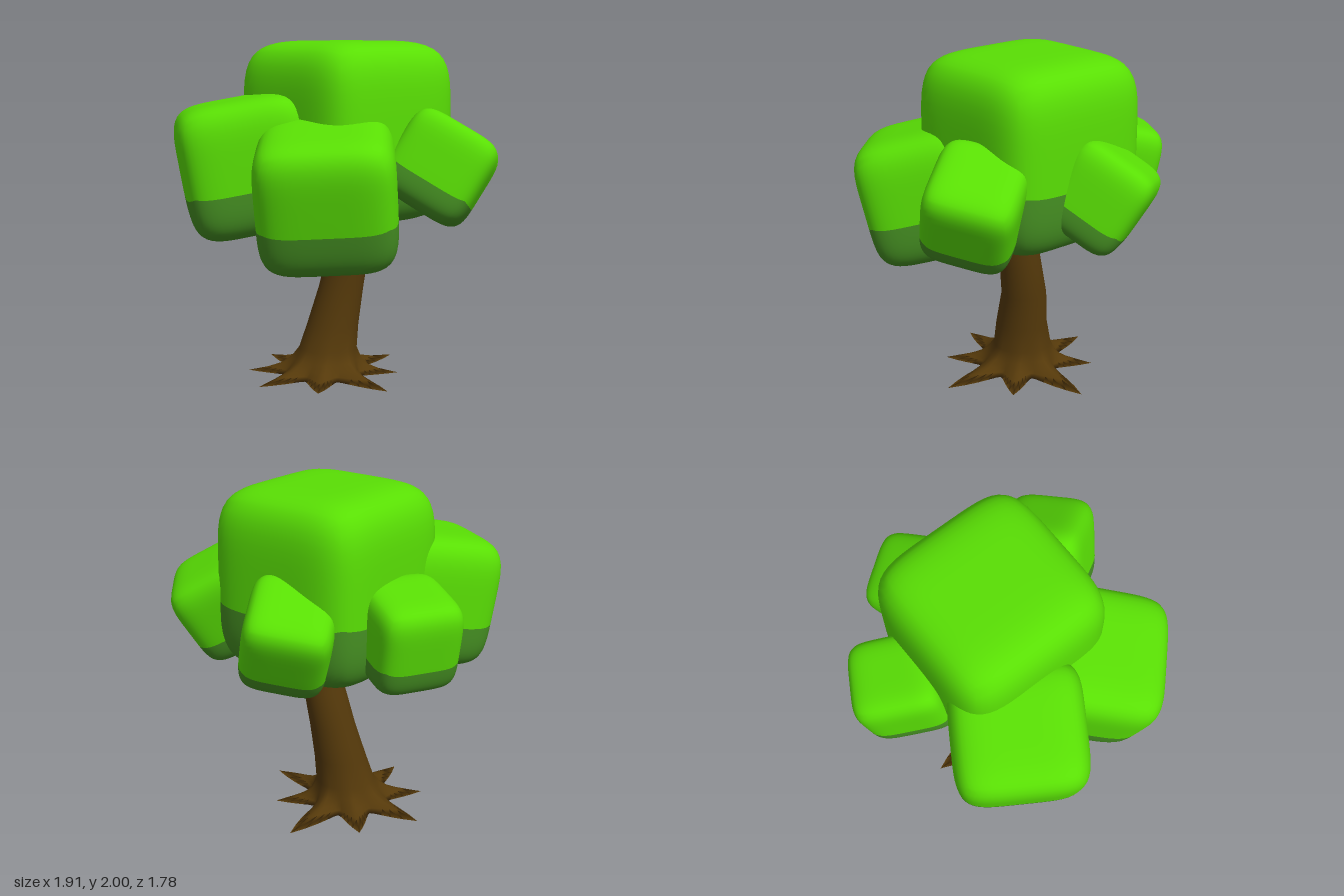
import * as THREE from 'three';
import { mergeVertices } from 'three/addons/utils/BufferGeometryUtils.js';

const mat = (name, color) => {
  const m = new THREE.MeshStandardMaterial({ color });
  m.name = name;
  return m;
};

// Soft swollen cube; faces below the cut use the second material
function leafGeometry(size, cut) {
  const n = 20, k = 5;
  const geo = new THREE.BoxGeometry(2, 2, 2, n, n, n);
  geo.deleteAttribute('uv');
  geo.deleteAttribute('normal');
  const pos = geo.attributes.position;
  // sort the triangles by colour, above and below the middle row
  const light = [], dark = [], idx = geo.index.array;
  for (let t = 0; t < idx.length; t += 3) {
    const tri = [idx[t], idx[t + 1], idx[t + 2]];
    const sumY = tri.reduce((s, v) => s + pos.getY(v), 0);
    (sumY < 0 ? dark : light).push(...tri);
  }
  geo.setIndex([...light, ...dark]);
  geo.clearGroups();
  geo.addGroup(0, light.length, 0);
  geo.addGroup(light.length, dark.length, 1);
  // move the middle row to the cut, then round the cube
  const p = new THREE.Vector3();
  for (let i = 0; i < pos.count; i++) {
    p.fromBufferAttribute(pos, i);
    p.y = cut + p.y * (p.y < 0 ? 1 + cut : 1 - cut);
    const norm = (Math.abs(p.x) ** k + Math.abs(p.y) ** k + Math.abs(p.z) ** k) ** (1 / k);
    p.divideScalar(norm);
    pos.setXYZ(i, p.x * size[0], p.y * size[1], p.z * size[2]);
  }
  const merged = mergeVertices(geo, 1e-5);
  merged.computeVertexNormals();
  return merged;
}

// Root spikes: 0 in the valleys, up to 1 at the tips
const SPIKES = [0.62, 0.97, 0.66, 0.78, 0.65, 0.82, 0.63, 1];
const SEG = 80;
function spike(j) {
  const u = (j / SEG) * SPIKES.length;
  const near = Math.round(u);
  return SPIKES[near % SPIKES.length] * (1 - 2 * Math.abs(u - near)) ** 1.6;
}

// Trunk sections: y, centre x, centre z, radius, spike reach
const SECTIONS = [
  [0, -0.075, -0.05, 0.25, 0.32],
  [0.025, -0.075, -0.05, 0.235, 0.16],
  [0.05, -0.07, -0.055, 0.22, 0.07],
  [0.09, -0.06, -0.06, 0.2, 0.02],
  [0.15, -0.05, -0.07, 0.175, 0],
  [0.3, -0.02, -0.068, 0.155, 0],
  [0.52, 0.028, -0.085, 0.135, 0],
  [0.75, 0.075, -0.065, 0.123, 0],
  [0.93, 0.095, -0.05, 0.112, 0],
  [1.15, 0.11, -0.04, 0.105, 0],
];

function trunkGeometry() {
  const points = [], index = [];
  const centre = SECTIONS.length * SEG;
  SECTIONS.forEach(([y, cx, cz, r, reach], i) => {
    for (let j = 0; j < SEG; j++) {
      const angle = (j / SEG) * Math.PI * 2;
      const rad = r + reach * spike(j);
      points.push(cx + rad * Math.cos(angle), y, cz + rad * Math.sin(angle));
      const a = i * SEG + j, b = i * SEG + ((j + 1) % SEG);
      if (i < SECTIONS.length - 1) index.push(a, a + SEG, b, b, a + SEG, b + SEG);
      // underside of the roots
      if (i === 0) index.push(centre, a, b);
    }
  });
  points.push(SECTIONS[0][1], 0.01, SECTIONS[0][2]);
  const geo = new THREE.BufferGeometry();
  geo.setAttribute('position', new THREE.Float32BufferAttribute(points, 3));
  geo.setIndex(index);
  geo.computeVertexNormals();
  return geo;
}

// Leaf clumps: centre, half size, rotation in degrees, colour boundary
const CLUMPS = [
  { name: 'crownTop', at: [0.06, 1.467, -0.11], size: [0.5, 0.533, 0.5], rot: [0, 45, 0], cut: -0.26 },
  { name: 'frontClump', at: [-0.02, 1.155, 0.475], size: [0.39, 0.38, 0.375], rot: [14, 2, 3], cut: -0.26 },
  { name: 'rightClump', at: [-0.525, 1.28, 0.105], size: [0.375, 0.39, 0.375], rot: [0, 13, 10], cut: -0.3 },
  { name: 'leftClump', at: [0.61, 1.27, 0.135], size: [0.275, 0.275, 0.26], rot: [-12, -6, -30], cut: -0.4 },
  { name: 'backLeftClump', at: [0.325, 1.26, -0.535], size: [0.245, 0.27, 0.25], rot: [-30, -17, 12], cut: -0.42 },
  { name: 'backRightClump', at: [-0.31, 1.262, -0.575], size: [0.245, 0.265, 0.26], rot: [-12, 15, 0], cut: -0.35 },
];

export function createModel() {
  const bark = mat('bark brown', 0x55390a);
  const leaf = mat('leaf green', 0x59df04);
  const shade = mat('dark leaf green', 0x458f22);

  const model = new THREE.Group();
  model.name = 'tree';
  const add = (name, geo, material) => {
    const mesh = new THREE.Mesh(geo, material);
    mesh.name = name;
    model.add(mesh);
    return mesh;
  };

  add('trunk', trunkGeometry(), bark);

  for (const c of CLUMPS) {
    const mesh = add(c.name, leafGeometry(c.size, c.cut), [leaf, shade]);
    mesh.position.set(...c.at);
    mesh.rotation.set(...c.rot.map(THREE.MathUtils.degToRad), 'YXZ');
  }
  return model;
}
